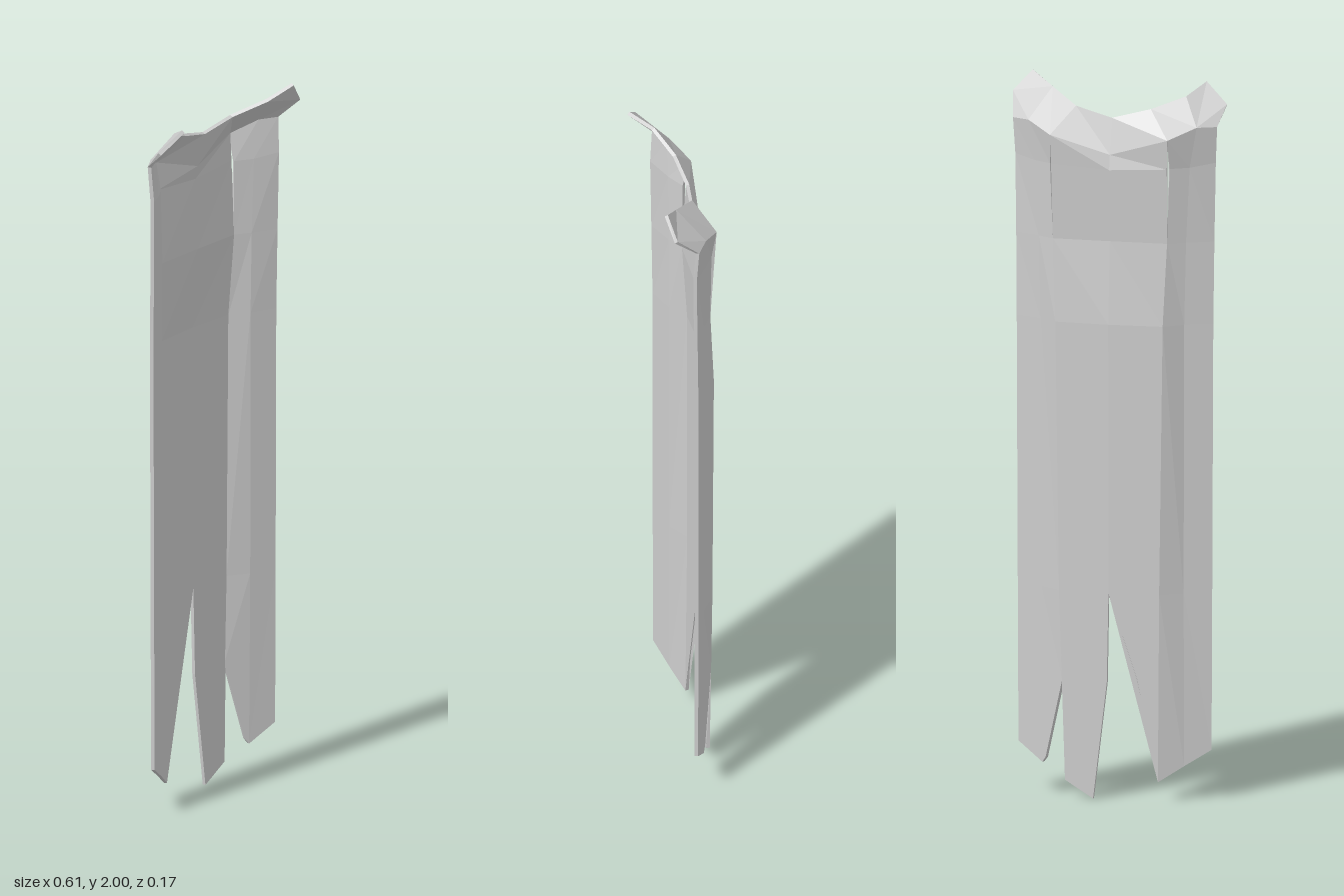
import * as THREE from 'three';

const THICKNESS = 0.01;

// Gathers polygons on shared points, then gives the sheet thickness and closes its rim.
function thickSheet(polygons) {
  const keys = new Map(), points = [], tris = [];
  const indexOf = (p) => {
    const key = p.map((v) => v.toFixed(4)).join();
    if (!keys.has(key)) { keys.set(key, points.length); points.push(new THREE.Vector3(...p)); }
    return keys.get(key);
  };
  for (const poly of polygons) {
    const ids = poly.map(indexOf);
    for (let i = 1; i < ids.length - 1; i++) tris.push([ids[0], ids[i], ids[i + 1]]);
  }
  const base = new THREE.BufferGeometry().setFromPoints(points);
  base.setIndex(tris.flat());
  base.computeVertexNormals();
  const normals = base.attributes.normal, n = points.length, shell = [];
  for (const side of [0.5, -0.5]) {
    points.forEach((p, i) => {
      const normal = new THREE.Vector3().fromBufferAttribute(normals, i);
      shell.push(p.clone().addScaledVector(normal, side * THICKNESS));
    });
  }
  const edges = new Set(), index = [];
  for (const [a, b, c] of tris) {
    index.push(a, b, c, n + a, n + c, n + b);
    for (const [i, j] of [[a, b], [b, c], [c, a]]) edges.add(i + '_' + j);
  }
  for (const edge of edges) {
    const [a, b] = edge.split('_').map(Number);
    if (!edges.has(b + '_' + a)) index.push(a, n + a, n + b, a, n + b, b);
  }
  const geometry = new THREE.BufferGeometry().setFromPoints(shell);
  geometry.setIndex(index);
  geometry.computeVertexNormals();
  return geometry;
}

// Cross-sections of one half: outer edge, middle, seam, centre line.
const neck = [[0.285, 1.88, 0], [0.235, 1.88, -0.03], [0.165, 1.85, -0.075], [0, 1.8, -0.06]];
const rows = [
  neck,
  [[0.28, 1.78, 0.006], [0.215, 1.77, -0.03], [0.163, 1.77, -0.07], [0, 1.76, -0.068]],
  [[0.277, 1.56, 0.003], [0.205, 1.56, -0.03], [0.16, 1.56, -0.058], [0, 1.56, -0.06]],
  [[0.275, 1.33, 0], [0.2, 1.33, -0.03], [0.15, 1.33, -0.07], [0, 1.33, -0.078]],
  [[0.272, 0.58, 0], [0.198, 0.58, -0.03], [0.14, 0.58, -0.068], [0, 0.58, -0.075]],
];

// Side panels pull slightly forward at the seam, which opens a slit.
const SLIT_ROW = 1;
const slitPoint = [0.166, 1.77, -0.06];

function halfCape(side, collar, hem) {
  const { corner, tip, mid, seam, centre } = collar;
  const polys = [
    // turned-out collar
    [corner, tip, mid, neck[1]],
    [corner, neck[1], neck[0]],
    [mid, seam, neck[2], neck[1]],
    [seam, centre, neck[3], neck[2]],
    ...hem,
  ];
  for (let r = 0; r < rows.length - 1; r++) {
    for (let c = 0; c < 3; c++) {
      const at = (row, col) => (c === 1 && col === 2 && row === SLIT_ROW ? slitPoint : rows[row][col]);
      polys.push([at(r, c), at(r, c + 1), at(r + 1, c + 1), at(r + 1, c)]);
    }
  }
  return polys.map((poly) => {
    const placed = poly.map(([x, y, z]) => [x * side, y, z]);
    return side > 0 ? placed : placed.reverse();
  });
}

export function createModel() {
  const group = new THREE.Group();
  group.name = 'tornCape';
  const cloth = new THREE.MeshStandardMaterial({ color: 0xcccccc, flatShading: true });
  cloth.name = 'grey cloth';

  const [edge, middle, seam, centre] = rows[rows.length - 1];
  const collarMiddle = { seam: [0.105, 1.923, -0.02], centre: [0, 1.898, -0.034] };

  // Right half: one broad tongue cut away towards the centre
  const rightCollar = { corner: [0.302, 1.932, 0.049], tip: [0.237, 1.987, 0.08], mid: [0.194, 1.955, 0.02], ...collarMiddle };
  const broadEnd = [0.135, 0.055, -0.062], broadMiddle = [0.2, 0.097, -0.03];
  const rightHem = [
    [edge, middle, broadMiddle, [0.27, 0.14, 0]],
    [middle, seam, broadEnd, broadMiddle],
    [seam, centre, [0.08, 0.34, -0.07], broadEnd],
  ];

  // Left half: two narrow tongues split by a notch
  const leftCollar = { corner: [0.302, 1.94, 0.063], tip: [0.25, 1.997, 0.08], mid: [0.185, 1.96, 0.042], ...collarMiddle };
  const notch = [0.13, 0.33, -0.067], outerTongue = [0.195, 0.09, -0.032];
  const leftHem = [
    [edge, middle, outerTongue, [0.27, 0.14, 0]],
    [middle, seam, notch, [0.184, 0.105, -0.038], outerTongue],
    [seam, centre, [0.005, 0.33, -0.073], [0.045, 0.002, -0.068], [0.125, 0.05, -0.064], notch],
  ];

  const cape = new THREE.Mesh(
    thickSheet([...halfCape(-1, rightCollar, rightHem), ...halfCape(1, leftCollar, leftHem)]),
    cloth,
  );
  cape.name = 'capeCloth';
  group.add(cape);
  return group;
}
